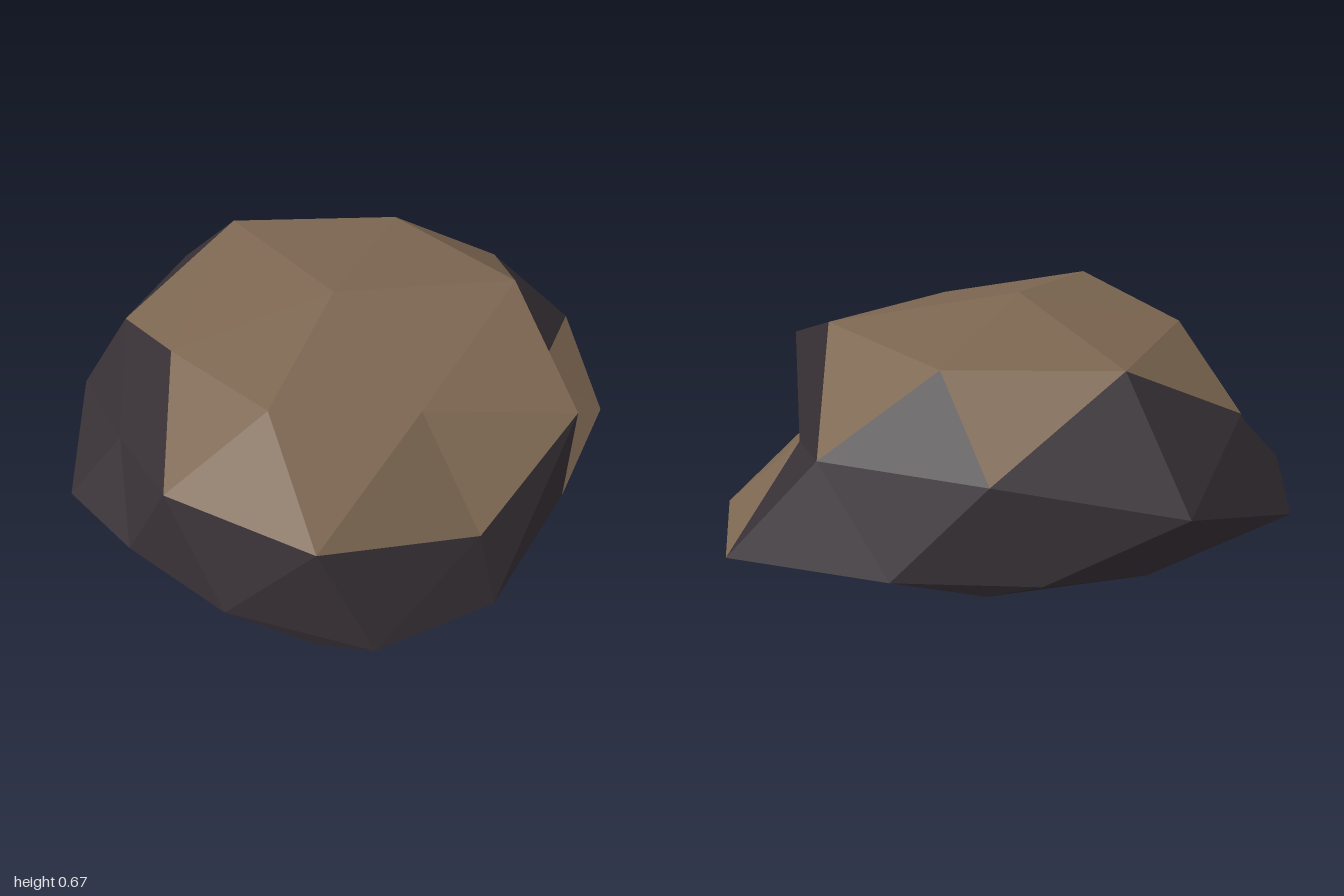
import * as THREE from 'three';

const V = (x, y, z) => new THREE.Vector3(x, y, z);

// Rings of corners, each running round the rock from +x towards -z
const peak = V(-0.05, 0.67, -0.05);
const crown = [
  V(0.58, 0.61, -0.07), V(0.28, 0.61, -0.55), V(-0.28, 0.61, -0.65),
  V(-0.6, 0.53, -0.03), V(-0.36, 0.57, 0.41), V(0.13, 0.51, 0.44),
];
const shoulder = [
  V(0.66, 0.4, 0.42), V(0.69, 0.2, -0.08), V(0.67, 0.36, -0.61), V(0.18, 0.36, -0.89),
  V(-0.41, 0.26, -1), V(-0.7, 0.37, -0.48), V(-0.79, 0.21, -0.02), V(-0.71, 0.34, 0.47),
  V(-0.31, 0.38, 0.9), V(0.25, 0.22, 0.74),
];
const skirt = [
  V(0.28, 0, 0.82), V(0.63, 0.05, 0.41), V(0.93, 0, -0.08), V(0.96, 0.05, -0.6),
  V(0.48, 0.05, -0.85), V(0.03, 0.05, -0.95), V(-0.32, 0, -0.83), V(-0.85, 0.05, -0.58),
  V(-0.97, 0, -0.02), V(-0.82, 0.05, 0.36), V(-0.57, 0.05, 0.73), V(-0.15, 0.05, 1),
];
// The flat foot shares the skirt corners that touch the ground
const foot = [skirt[0], skirt[2], V(0.19, 0, -0.89), skirt[6], skirt[8], V(-0.31, 0, 0.88)];

// Joins two rings; fans[i] is the number of outer edges seen by inner corner i
function stitch(inner, outer, fans) {
  const faces = [];
  let j = 0;
  inner.forEach((p, i) => {
    for (let n = 0; n < fans[i]; n++, j++) {
      faces.push([p, outer[j], outer[(j + 1) % outer.length]]);
    }
    faces.push([p, outer[j % outer.length], inner[(i + 1) % inner.length]]);
  });
  return faces.filter(([a, b, c]) => a !== b && b !== c && c !== a);
}

const fan = (centre, ring) => ring.map((p, i) => [centre, p, ring[(i + 1) % ring.length]]);
const flip = (faces) => faces.map(([a, b, c]) => [a, c, b]);

function facetMesh(name, faces, color) {
  const geometry = new THREE.BufferGeometry().setFromPoints(faces.flat());
  geometry.computeVertexNormals();
  const mesh = new THREE.Mesh(
    geometry,
    new THREE.MeshStandardMaterial({ color, flatShading: true })
  );
  mesh.name = name;
  return mesh;
}

export function createModel() {
  const faces = [
    ...fan(peak, crown),
    ...stitch(crown, shoulder, [2, 1, 2, 2, 1, 2]),
    ...stitch(shoulder, skirt, [1, 2, 1, 1, 2, 0, 2, 1, 1, 1]),
    ...flip(stitch(foot, skirt, [2, 1, 3, 2, 1, 3])),
    ...flip(fan(V(0, 0, 0), foot)),
  ];

  // Gentle upward slopes are earth, steep sides and underside are dark stone
  const normal = new THREE.Vector3();
  const isEarth = ([a, b, c]) => new THREE.Triangle(a, b, c).getNormal(normal).y > 0.715;

  const rock = new THREE.Group();
  rock.name = 'rock';
  rock.add(
    facetMesh('earthTop', faces.filter(isEarth), 0x7d6752),
    facetMesh('stoneSides', faces.filter((f) => !isEarth(f)), 0x383136)
  );
  return rock;
}
